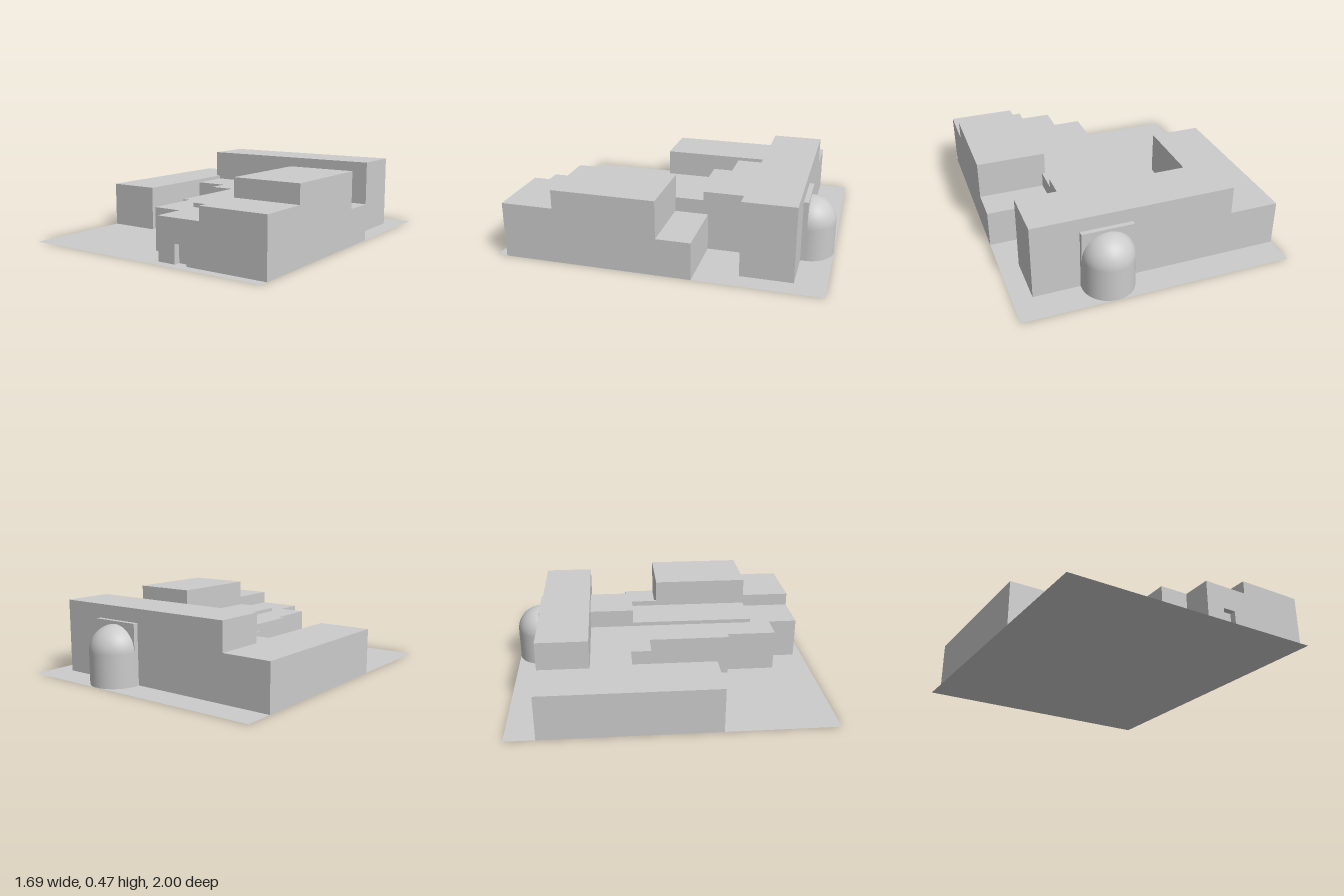
import * as THREE from 'three';

export function createModel() {
  const model = new THREE.Group();
  model.name = 'buildingComplex';
  const flat = new THREE.MeshStandardMaterial({ color: 0xcccccc, flatShading: true });
  const smooth = new THREE.MeshStandardMaterial({ color: 0xcccccc, side: THREE.DoubleSide });

  const add = (name, geometry, material = flat, parent = model) => {
    const mesh = new THREE.Mesh(geometry, material);
    mesh.name = name;
    parent.add(mesh);
    return mesh;
  };
  // A block standing on the ground between two corners of its plan
  const block = (name, x0, x1, z0, z1, h) =>
    add(name, new THREE.BoxGeometry(x1 - x0, h, z1 - z0))
      .position.set((x0 + x1) / 2, h / 2, (z0 + z1) / 2);
  const outline = (points) => new THREE.Shape(points.map(([a, b]) => new THREE.Vector2(a, b)));

  // Ground sheet
  const ground = new THREE.PlaneGeometry(1.69, 2).rotateX(-Math.PI / 2);
  add('ground', ground, new THREE.MeshStandardMaterial({ color: 0xcccccc, side: THREE.DoubleSide }));

  // Tall rear hall and long side wing
  block('rearHall', -0.53, 0.725, -0.81, -0.49, 0.47);
  block('sideWing', -0.845, -0.5, -0.81, 0.295, 0.29);

  // Low central building with a stepped plan, drawn as (x, -z) and raised
  const plan = outline([
    [-0.5, 0.49], [-0.5, 0.23], [-0.28, 0.23], [-0.28, 0.1], [-0.115, 0.1],
    [-0.115, -0.43], [-0.07, -0.43], [-0.07, -0.75], [0.115, -0.75],
    [0.115, -0.9], [0.41, -0.9], [0.41, 0.49],
  ]);
  const low = new THREE.ExtrudeGeometry(plan, { depth: 0.267, bevelEnabled: false });
  add('lowBuilding', low.rotateX(-Math.PI / 2));
  block('raisedRoof', 0.115, 0.41, -0.2, 0.615, 0.293);

  // Links between the rear hall and the front buildings
  block('rearLink', 0.115, 0.43, -0.49, -0.2, 0.383);
  block('narrowLink', 0.41, 0.43, -0.2, -0.02, 0.327);
  block('sideAnnex', 0.43, 0.845, -0.23, -0.02, 0.235);

  // Tall front building and its lower front part
  block('frontHall', 0.41, 0.845, -0.02, 0.615, 0.47);
  block('frontHallPorch', 0.41, 0.845, 0.615, 0.9, 0.352);

  // Stepped front wall with a recessed doorway
  const wall = outline([
    [0.115, 0], [0.235, 0], [0.235, 0.12], [0.32, 0.12], [0.32, 0],
    [0.845, 0], [0.845, 0.352], [0.41, 0.352], [0.41, 0.267], [0.115, 0.267],
  ]);
  const front = new THREE.ExtrudeGeometry(wall, { depth: 0.04, bevelEnabled: false });
  add('frontWall', front.translate(0, 0, 0.9));

  // Rear apse: backing wall, half cylinder and quarter dome
  block('apseWall', 0.115, 0.435, -0.84, -0.81, 0.383);
  const apse = new THREE.Group();
  apse.name = 'apse';
  apse.position.set(0.275, 0, -0.84);
  model.add(apse);
  const r = 0.16, h = 0.205;
  const drum = new THREE.CylinderGeometry(r, r, h, 40, 1, true, Math.PI / 2, Math.PI);
  add('apseDrum', drum, smooth, apse).position.y = h / 2;
  const dome = new THREE.SphereGeometry(r, 40, 16, Math.PI, Math.PI, 0, Math.PI / 2);
  add('apseDome', dome, smooth, apse).position.y = h;

  return model;
}
